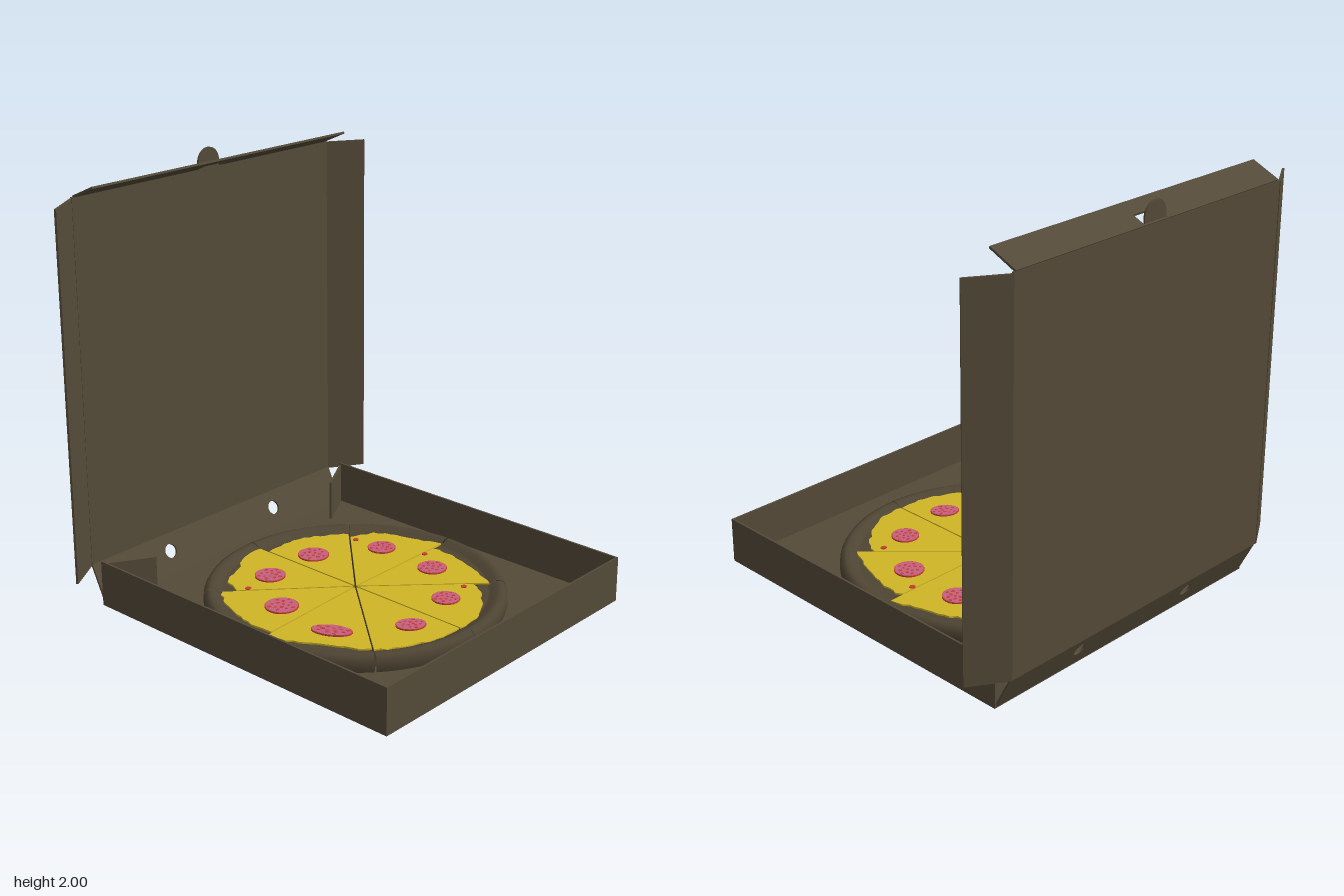
import * as THREE from 'three';

const mat = (name, color, side = THREE.FrontSide) => {
  const m = new THREE.MeshStandardMaterial({ color, side });
  m.name = name;
  return m;
};

export function createModel() {
  const root = new THREE.Group();
  const cardboard = mat('cardboard', 0x544a38);
  const crust = mat('crust', 0x4e4433, THREE.DoubleSide);
  const cheese = mat('cheese', 0xcfb526);
  const pink = mat('pepperoni pink', 0xc4607f);
  const red = mat('pepperoni red', 0xc83c32);
  const T = 0.01;

  let seed = 7;
  const rand = () => (seed = (seed * 16807) % 2147483647) / 2147483647;

  const add = (parent, name, geo, material, x = 0, y = 0, z = 0) => {
    const m = new THREE.Mesh(geo, material);
    m.name = name;
    m.position.set(x, y, z);
    parent.add(m);
    return m;
  };
  const group = (parent, name) => {
    const g = new THREE.Group();
    g.name = name;
    parent.add(g);
    return g;
  };
  const box = (parent, name, w, h, d, x, y, z) =>
    add(parent, name, new THREE.BoxGeometry(w, h, d), cardboard, x, y, z);
  const rect = (x0, x1, y0, y1, C = THREE.Shape) => {
    const p = new C();
    p.moveTo(x0, y0).lineTo(x1, y0).lineTo(x1, y1).lineTo(x0, y1).closePath();
    return p;
  };
  const sheet = (shape, depth = T) =>
    new THREE.ExtrudeGeometry(shape, { depth, bevelEnabled: false, curveSegments: 16 });

  // Tray: floor, front wall, side walls and tucked corner flaps
  const tray = group(root, 'tray');
  box(tray, 'trayFloor', 1.62, T, 1.73, 0, T / 2, 0.045);
  box(tray, 'frontWall', 1.62, 0.22, T, 0, 0.11, 0.905);
  for (const s of [1, -1]) {
    const side = s > 0 ? 'left' : 'right';
    box(tray, side + 'Wall', T, 0.22, 1.73, s * 0.805, 0.11, 0.045);
    const flap = box(tray, side + 'CornerFlap', 0.25, 0.2, T, s * 0.7, 0.11, -0.752);
    flap.rotation.y = s * Math.atan2(0.13, 0.22);
  }

  // Slanted back wall with two round vents
  const back = rect(-0.8, 0.8, 0, 0.19);
  for (const x of [-0.35, 0.35]) {
    const vent = new THREE.Path();
    vent.absarc(x, 0.105, 0.034, 0, Math.PI * 2, true);
    back.holes.push(vent);
  }
  add(tray, 'backWall', sheet(back), cardboard, 0, 0.004, -0.82).rotation.x = -Math.atan2(0.085, 0.17);

  // Open lid with bent side flaps, slotted top flap and locking tab
  const lid = group(root, 'lid');
  box(lid, 'lidPanel', 1.6, 1.735, T, 0, 1.0375, -0.902);
  for (const s of [1, -1]) {
    const flap = box(lid, s > 0 ? 'leftLidFlap' : 'rightLidFlap', 0.2, 1.73, T, s * 0.884, 1.035, -0.853);
    flap.rotation.y = -s * Math.atan2(0.105, 0.17);
  }
  const top = rect(-0.79, 0.79, 0, 0.148);
  top.holes.push(rect(-0.07, 0.07, 0.008, 0.07, THREE.Path));
  add(lid, 'topFlap', sheet(top), cardboard, 0, 1.91, -0.907).rotation.x = Math.atan2(0.135, 0.06);
  const tab = new THREE.Shape();
  tab.moveTo(-0.065, 1.9).lineTo(0.065, 1.9).lineTo(0.065, 1.935);
  tab.absarc(0, 1.935, 0.065, 0, Math.PI, false);
  tab.closePath();
  add(lid, 'lockingTab', sheet(tab, 0.008), cardboard, 0, 0, -0.899);

  // Pizza: eight slices, each [start, end angle in degrees, cheese edge radii]
  const pizza = group(root, 'pizza');
  pizza.position.set(-0.005, T, 0.02);
  const slices = [
    [0, 45, [0.55, 0.56, 0.56, 0.58, 0.61]],
    [45, 90, [0.54, 0.57, 0.59, 0.61, 0.61]],
    [90, 131, [0.61, 0.61, 0.61, 0.61, 0.61]],
    [131, 177, [0.6, 0.58, 0.57, 0.59, 0.61]],
    [177, 223, [0.57, 0.58, 0.59, 0.6, 0.61]],
    [223, 270, [0.54, 0.59, 0.57, 0.6, 0.61]],
    [270, 315, [0.56, 0.57, 0.58, 0.57, 0.58]],
    [315, 360, [0.53, 0.59, 0.59, 0.59, 0.615]],
  ];
  // Wedge lying flat with its top at y = 0
  const wedge = (a0, a1, radii, depth) => {
    const s = new THREE.Shape();
    s.moveTo(0, 0);
    radii.forEach((r, i) => {
      const a = a0 + ((a1 - a0) * i) / (radii.length - 1);
      s.lineTo(r * Math.cos(a), r * Math.sin(a));
    });
    s.closePath();
    return sheet(s, depth).rotateX(Math.PI / 2);
  };
  const rim = [[0.685, 0], [0.692, 0.025], [0.69, 0.055], [0.678, 0.075], [0.66, 0.082], [0.64, 0.078], [0.62, 0.066], [0.6, 0.058]]
    .map(([r, y]) => new THREE.Vector2(r, y));
  slices.forEach(([d0, d1, edge], i) => {
    const a0 = THREE.MathUtils.degToRad(d0), a1 = THREE.MathUtils.degToRad(d1), mid = (a0 + a1) / 2;
    const slice = group(pizza, 'slice' + (i + 1));
    slice.position.set(0.01 * Math.cos(mid), 0, 0.01 * Math.sin(mid));
    add(slice, 'sliceBase', wedge(a0, a1, Array(9).fill(0.64), 0.058), crust, 0, 0.06, 0);
    add(slice, 'crustRim', new THREE.LatheGeometry(rim, 8, Math.PI / 2 - a1, a1 - a0), crust);
    const ragged = [];
    for (let k = 0; k <= 16; k++) {
      const j = Math.min(3, Math.floor(k / 4)), t = k / 4 - j;
      ragged.push(THREE.MathUtils.lerp(edge[j], edge[j + 1], t) + (rand() - 0.5) * 0.016);
    }
    add(slice, 'cheeseLayer', wedge(a0, a1, ragged, 0.009), cheese, 0, 0.068, 0);
  });

  // Pepperoni: [x, z, half length, half width, turn], with red flecks on top
  const toppings = group(root, 'toppings');
  const disc = (parent, name, r, h, material, x, y, z, n = 20) =>
    add(parent, name, new THREE.CylinderGeometry(r, r, h, n), material, x, y, z);
  for (const [x, z, a, b, turn] of [
    [-0.19, -0.35, 0.073, 0.073, 0], [0.11, -0.355, 0.075, 0.075, 0],
    [0.39, -0.165, 0.068, 0.068, 0], [0.38, 0.16, 0.07, 0.07, 0],
    [0.175, 0.41, 0.066, 0.066, 0], [-0.13, 0.46, 0.07, 0.055, -0.6],
    [-0.405, 0.24, 0.095, 0.05, -1.1], [-0.38, -0.09, 0.078, 0.078, 0],
  ]) {
    const p = group(toppings, 'pepperoni');
    p.position.set(x, 0.078, z);
    p.rotation.y = turn;
    p.scale.set(a, 1, b);
    disc(p, 'pepperoniEdge', 1, 0.006, red, 0, 0.003, 0);
    disc(p, 'pepperoniTop', 0.95, 0.003, pink, 0, 0.006, 0);
    for (let k = 0; k < 14; k++) {
      const r = 0.8 * Math.sqrt((k + 0.5) / 14), t = k * 2.4;
      disc(p, 'redFleck', 0.09 + 0.05 * rand(), 0.001, red, r * Math.cos(t), 0.0077, r * Math.sin(t), 6);
    }
  }
  // Small red scraps between the slices
  for (const [x, z] of [[0.375, -0.32], [0.475, 0.035], [-0.355, -0.33], [0.325, 0.395]])
    disc(toppings, 'redScrap', 0.015, 0.004, red, x, 0.08, z, 6);

  return root;
}
